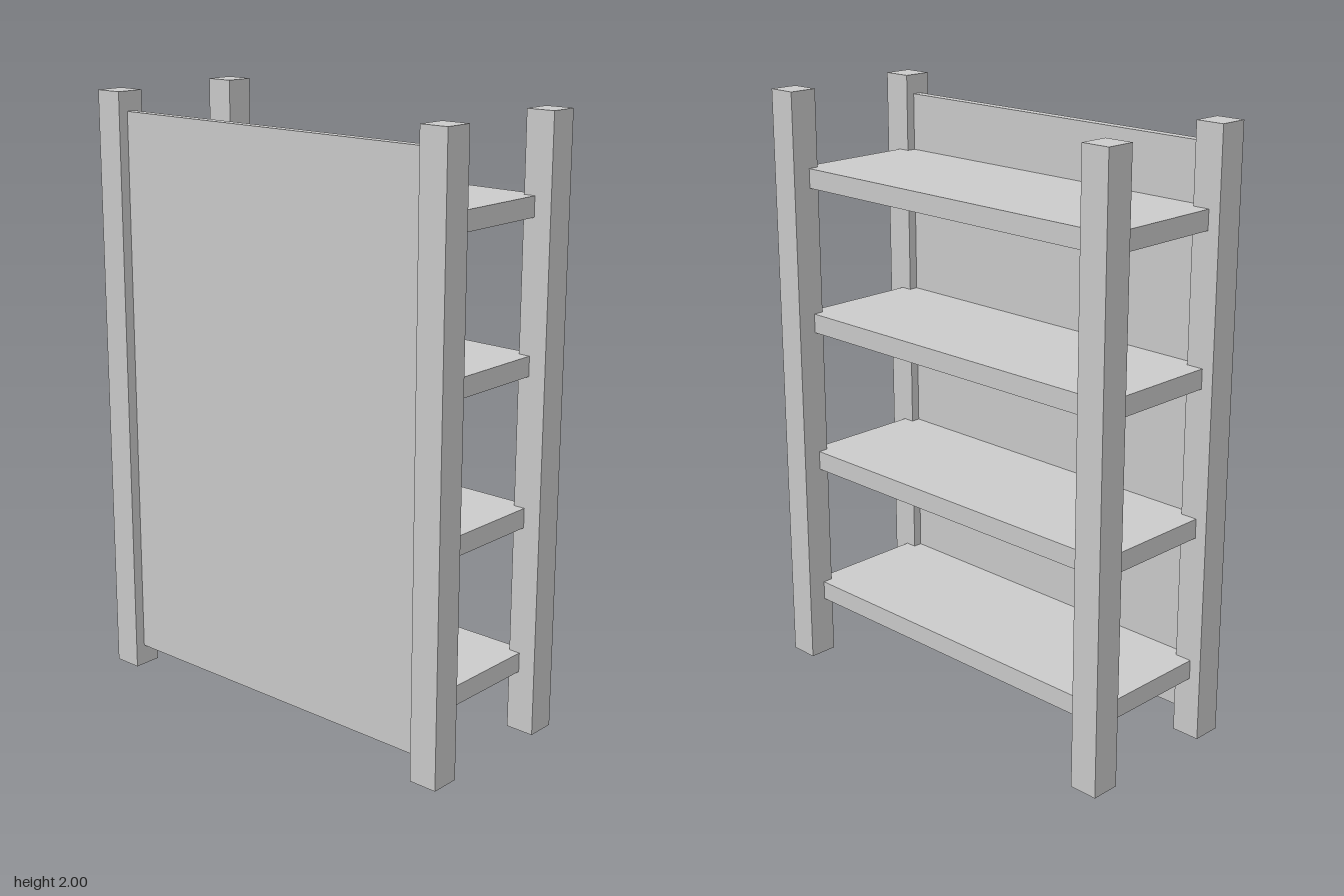
import * as THREE from 'three';

export function createModel() {
  const group = new THREE.Group();
  const material = new THREE.MeshStandardMaterial({ color: 0xcccccc, flatShading: true });

  // Adds a box given its lower and upper corners
  const addBox = (name, [x0, y0, z0], [x1, y1, z1]) => {
    const mesh = new THREE.Mesh(new THREE.BoxGeometry(x1 - x0, y1 - y0, z1 - z0), material);
    mesh.position.set((x0 + x1) / 2, (y0 + y1) / 2, (z0 + z1) / 2);
    mesh.name = name;
    group.add(mesh);
  };

  // Four corner posts
  for (const x of [-0.25, 0.25]) {
    for (const z of [-0.668, 0.668]) {
      addBox('cornerPost', [x - 0.049, 0, z - 0.049], [x + 0.049, 2, z + 0.049]);
    }
  }

  // Four shelves, running into the posts
  for (let i = 0; i < 4; i++) {
    const y = 0.205 + i * 0.4917;
    addBox('shelf', [-0.232, y, -0.677], [0.236, y + 0.065, 0.658]);
  }

  // Thin panel closing one long side
  addBox('backPanel', [-0.264, 0.07, -0.66], [-0.232, 1.935, 0.66]);

  return group;
}
